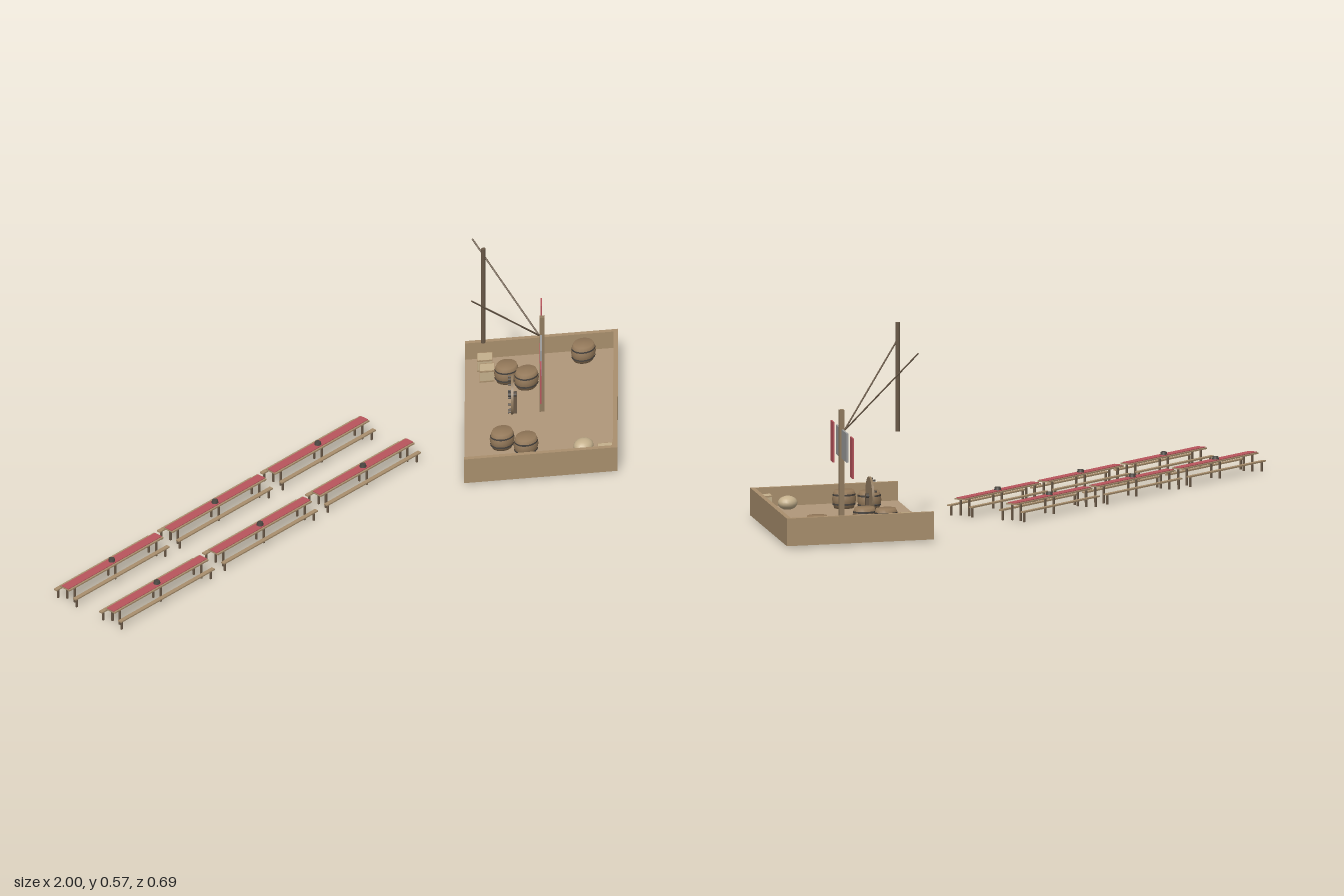
import * as THREE from 'three';

const mat = (color, flatShading = false) => new THREE.MeshStandardMaterial({ color, flatShading });
const wood = mat(0xa98f6d), floorWood = mat(0xb0977a), mastWood = mat(0x927c60), darkWood = mat(0x6b5a48);
const barrelWood = mat(0x94795a), iron = mat(0x4a4540), red = mat(0xb8555c), grey = mat(0x9c9c9c);
const pale = mat(0xc4b08c);

function add(parent, name, geometry, material, x = 0, y = 0, z = 0) {
  const mesh = new THREE.Mesh(geometry, material);
  mesh.name = name;
  mesh.position.set(x, y, z);
  parent.add(mesh);
  return mesh;
}

// Box given by its size, bottom height and plan position
function box(parent, name, material, w, h, d, x, bottom, z) {
  return add(parent, name, new THREE.BoxGeometry(w, h, d), material, x, bottom + h / 2, z);
}

// Thin rod between two points
function rod(parent, name, material, a, b, r) {
  const from = new THREE.Vector3(...a), to = new THREE.Vector3(...b);
  const dir = to.clone().sub(from);
  const mesh = add(parent, name, new THREE.CylinderGeometry(r, r, dir.length(), 8), material);
  mesh.position.copy(from).add(to).multiplyScalar(0.5);
  mesh.quaternion.setFromUnitVectors(new THREE.Vector3(0, 1, 0), dir.normalize());
  return mesh;
}

function createBarrel() {
  const g = new THREE.Group();
  g.name = 'barrel';
  const profile = [[0, 0], [0.026, 0], [0.03, 0.013], [0.032, 0.025], [0.03, 0.038], [0.026, 0.05], [0, 0.05]];
  const points = profile.map(([x, y]) => new THREE.Vector2(x, y));
  add(g, 'barrelBody', new THREE.LatheGeometry(points, 20), barrelWood);
  for (const y of [0.012, 0.038]) {
    add(g, 'barrelHoop', new THREE.CylinderGeometry(0.0308, 0.0308, 0.005, 20, 1, true), iron, 0, y, 0);
  }
  return g;
}

function createCrate() {
  const g = new THREE.Group();
  g.name = 'crate';
  box(g, 'crateBody', pale, 0.036, 0.036, 0.036, 0, 0, 0);
  for (const y of [0, 0.032]) {
    for (const s of [-1, 1]) {
      box(g, 'crateSlat', wood, 0.038, 0.004, 0.003, 0, y, s * 0.018);
      box(g, 'crateSlat', wood, 0.003, 0.004, 0.038, s * 0.018, y, 0);
    }
  }
  return g;
}

function createTable() {
  const g = new THREE.Group();
  g.name = 'tableWithBenches';
  box(g, 'tableTop', wood, 0.38, 0.004, 0.036, 0, 0.047, 0);
  box(g, 'tableRunner', red, 0.378, 0.002, 0.026, 0, 0.051, 0);
  add(g, 'centrePiece', new THREE.CylinderGeometry(0.008, 0.01, 0.008, 12), iron, 0, 0.057, 0);
  for (const x of [-0.165, 0, 0.165]) {
    for (const s of [-1, 1]) box(g, 'tableLeg', darkWood, 0.005, 0.047, 0.005, x, 0, s * 0.014);
  }
  for (const s of [-1, 1]) {
    box(g, 'benchSeat', wood, 0.38, 0.004, 0.012, 0, 0.027, s * 0.036);
    for (const x of [-0.18, 0.18]) box(g, 'benchLeg', darkWood, 0.005, 0.027, 0.005, x, 0, s * 0.035);
  }
  return g;
}

function createWheel() {
  const g = new THREE.Group();
  g.name = 'wheel';
  const disc = add(g, 'wheelDisc', new THREE.CylinderGeometry(0.054, 0.054, 0.006, 32), mastWood);
  disc.rotation.x = Math.PI / 2;
  const hub = add(g, 'wheelHub', new THREE.CylinderGeometry(0.007, 0.007, 0.022, 12), iron);
  hub.rotation.x = Math.PI / 2;
  // Pegs around the rim
  for (let i = 0; i < 8; i++) {
    const a = (i + 0.5) * Math.PI / 4;
    const peg = add(g, 'wheelPeg', new THREE.CylinderGeometry(0.0025, 0.0025, 0.012, 8), iron,
      Math.cos(a) * 0.049, Math.sin(a) * 0.049, -0.005);
    peg.rotation.x = Math.PI / 2;
  }
  box(g, 'wheelStand', darkWood, 0.01, 0.066, 0.008, 0, -0.06, 0.008);
  return g;
}

function createStage() {
  const g = new THREE.Group();
  g.name = 'stage';
  const floor = 0.03, W = 0.573, D = 0.392, t = 0.012, bottom = 0.006, wallH = 0.077;

  // Floor with walls on three sides
  box(g, 'stageFloor', floorWood, W - 0.001, floor - bottom, D - 0.001, 0, bottom, 0);
  box(g, 'stageFrontWall', wood, W, wallH, t, 0, bottom, D / 2 - t / 2);
  for (const s of [-1, 1]) box(g, 'stageSideWall', wood, t, wallH, D - t, s * (W / 2 - t / 2), bottom, -t / 2);

  // Mast with the hanging boards
  box(g, 'mast', mastWood, 0.013, 0.335 - floor, 0.013, 0, floor, 0.002);
  box(g, 'greyBoard', grey, 0.168, 0.081, 0.005, 0, 0.199, 0);
  box(g, 'boardStripe', red, 0.125, 0.028, 0.002, 0, 0.226, -0.003);
  for (const s of [-1, 1]) box(g, 'redBanner', red, 0.04, 0.113, 0.004, s * 0.153, 0.167, 0);

  // Free pole and slanting spars
  rod(g, 'tallPole', darkWood, [0, 0.267, -0.148], [0, 0.572, -0.148], 0.006);
  for (const s of [-1, 1]) rod(g, 'spar', darkWood, [0, 0.275, -0.005], [s * 0.151, 0.506, -0.177], 0.0022);

  const wheel = createWheel();
  wheel.position.set(0, 0.09, -0.074);
  g.add(wheel);

  // Cargo
  for (const [x, z] of [[0.235, 0.107], [0.163, -0.089], [0.127, -0.038], [-0.156, -0.099], [-0.192, -0.038]]) {
    const barrel = createBarrel();
    barrel.position.set(x, floor, z);
    g.add(barrel);
  }
  for (const [x, z] of [[0.23, -0.145], [0.177, -0.139], [-0.254, 0.164]]) {
    const crate = createCrate();
    crate.position.set(x, floor, z);
    g.add(crate);
  }
  const sack = add(g, 'sack', new THREE.SphereGeometry(0.026, 20, 12), pale, -0.212, floor + 0.018, 0.109);
  sack.scale.y = 0.75;
  return g;
}

export function createModel() {
  const model = new THREE.Group();
  model.name = 'stageAndTables';

  // Turned stage, widened along x after turning
  const stage = createStage();
  stage.rotation.y = THREE.MathUtils.degToRad(47.3);
  const stretched = new THREE.Group();
  stretched.name = 'stretchedStage';
  stretched.scale.x = 1.169;
  stretched.position.x = 0.602;
  stretched.add(stage);
  model.add(stretched);

  // Two rows of three tables
  for (const z of [-0.306, -0.135]) {
    for (const x of [-0.81, -0.392, 0.025]) {
      const table = createTable();
      table.position.set(x, 0, z);
      model.add(table);
    }
  }
  return model;
}
